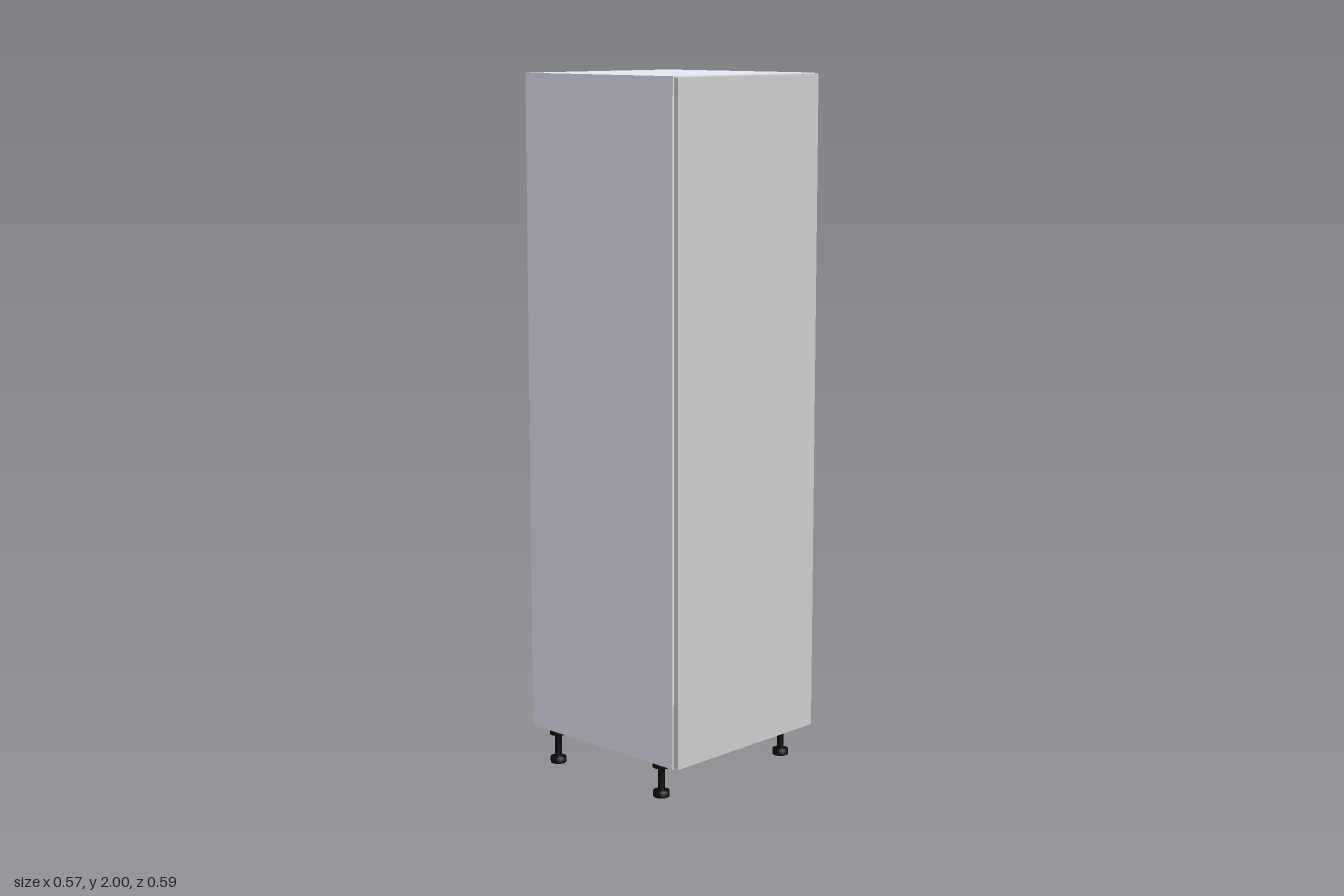
import * as THREE from 'three';

export function createModel() {
  const model = new THREE.Group();
  const carcassMat = new THREE.MeshStandardMaterial({ color: 0xe4e6f4 });
  const greyMat = new THREE.MeshStandardMaterial({ color: 0xcccccc });
  const blackMat = new THREE.MeshStandardMaterial({ color: 0x0a0a0a });

  // Panel given by its min and max corners
  function panel(name, mat, [x0, y0, z0], [x1, y1, z1]) {
    const mesh = new THREE.Mesh(new THREE.BoxGeometry(x1 - x0, y1 - y0, z1 - z0), mat);
    mesh.position.set((x0 + x1) / 2, (y0 + y1) / 2, (z0 + z1) / 2);
    mesh.name = name;
    model.add(mesh);
  }

  // Carcass: two sides with the top and bottom boards between them
  const W = 0.286, T = 0.016, bottom = 0.103, top = 2, back = -0.295, front = 0.276;
  const inner = W - T;
  panel('leftSide', carcassMat, [inner, bottom, back], [W, top, front]);
  panel('rightSide', carcassMat, [-W, bottom, back], [-inner, top, front]);
  panel('topBoard', carcassMat, [-inner, top - T, back], [inner, top, front]);
  panel('bottomBoard', carcassMat, [-inner, bottom, back], [inner, bottom + T, front]);

  // Back panel set between the boards, flush with their rear edges
  panel('backPanel', greyMat, [-inner, bottom + T, back], [inner, top - T, back + 0.008]);

  // Full-height door
  panel('door', greyMat, [-0.283, bottom + 0.002, front + 0.001], [0.283, top - 0.003, 0.293]);

  // Adjustable feet: mounting cup, stem and floor pad
  const legProfile = [
    [0, 0], [0.023, 0], [0.023, 0.017], [0.01, 0.019],
    [0.01, 0.084], [0.025, 0.086], [0.025, bottom], [0, bottom],
  ].map(([x, y]) => new THREE.Vector2(x, y));
  const legGeo = new THREE.LatheGeometry(legProfile, 24);
  for (const x of [-0.253, 0.253]) {
    for (const z of [-0.222, 0.2]) {
      const leg = new THREE.Mesh(legGeo, blackMat);
      leg.name = `${z > 0 ? 'front' : 'back'}${x > 0 ? 'Left' : 'Right'}Leg`;
      leg.position.set(x, 0, z);
      model.add(leg);
    }
  }

  // Small plug in the middle of the underside
  const plug = new THREE.Mesh(new THREE.CylinderGeometry(0.007, 0.006, 0.01, 16), greyMat);
  plug.name = 'undersidePlug';
  plug.position.set(0, bottom - 0.005, -0.008);
  model.add(plug);

  return model;
}
